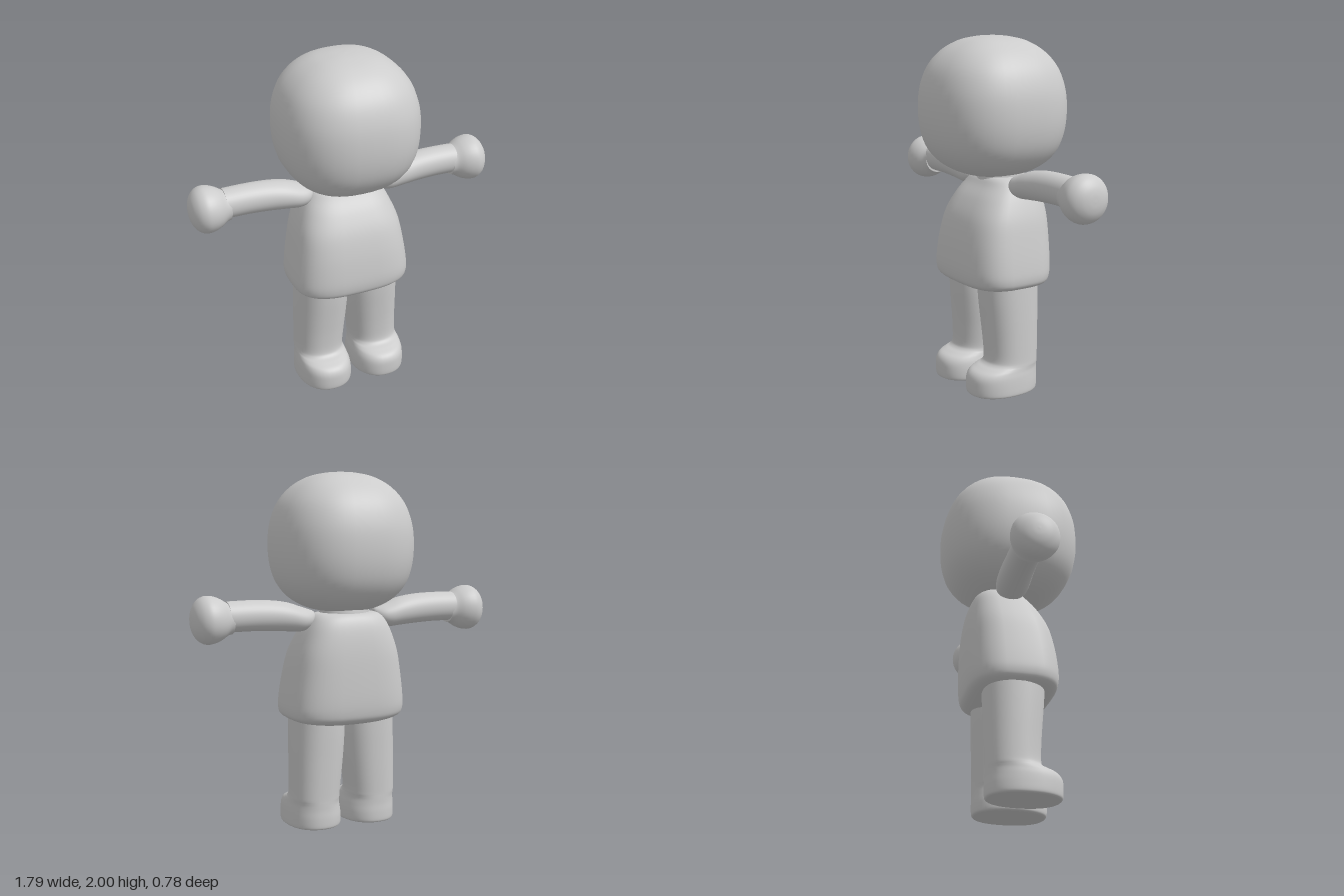
import * as THREE from 'three';

// Smooth skin through rings [height, x0, x1, z0, z1, squareness], capped at both ends
function loft(rings, steps = 5, seg = 40) {
  const at = (i) => rings[Math.max(0, Math.min(rings.length - 1, i))];
  const rows = [];
  for (let i = 0; i < rings.length - 1; i++) {
    for (let s = 0; s < steps; s++) {
      const t = s / steps;
      rows.push(rings[i].map((_, k) => {
        const [a, b, c, d] = [at(i - 1)[k], at(i)[k], at(i + 1)[k], at(i + 2)[k]];
        return b + 0.5 * t * (c - a + t * (2 * a - 5 * b + 4 * c - d + t * (3 * (b - c) + d - a)));
      }));
    }
  }
  rows.push(at(rings.length - 1));
  const pos = [], index = [];
  const bend = (v, n) => Math.sign(v) * Math.pow(Math.abs(v), 2 / n);
  for (const [y, x0, x1, z0, z1, n] of rows) {
    for (let j = 0; j < seg; j++) {
      const a = (j / seg) * Math.PI * 2;
      pos.push((x0 + x1) / 2 + (x1 - x0) / 2 * bend(Math.cos(a), n), y,
        (z0 + z1) / 2 + (z1 - z0) / 2 * bend(Math.sin(a), n));
    }
  }
  for (let i = 0; i < rows.length - 1; i++) {
    for (let j = 0; j < seg; j++) {
      const k = (j + 1) % seg, a = i * seg + j, b = i * seg + k;
      index.push(a, a + seg, b, b, a + seg, b + seg);
    }
  }
  // Caps have their own vertices so flat ends stay sharp
  for (const top of [false, true]) {
    const r = rows[top ? rows.length - 1 : 0];
    const from = top ? (rows.length - 1) * seg : 0;
    const start = pos.length / 3;
    pos.push((r[1] + r[2]) / 2, r[0], (r[3] + r[4]) / 2);
    for (let j = 0; j < seg; j++) pos.push(...pos.slice((from + j) * 3, (from + j) * 3 + 3));
    for (let j = 0; j < seg; j++) {
      const a = start + 1 + j, b = start + 1 + ((j + 1) % seg);
      if (top) index.push(start, b, a);
      else index.push(start, a, b);
    }
  }
  const g = new THREE.BufferGeometry();
  g.setAttribute('position', new THREE.Float32BufferAttribute(pos, 3));
  g.setIndex(index);
  g.computeVertexNormals();
  return g;
}

// Mirror a geometry across x, keeping faces outward
function mirrored(geometry) {
  const g = geometry.clone();
  const p = g.attributes.position, ix = g.index;
  for (let i = 0; i < p.count; i++) p.setX(i, -p.getX(i));
  for (let i = 0; i < ix.count; i += 3) {
    const b = ix.getX(i + 1);
    ix.setX(i + 1, ix.getX(i + 2));
    ix.setX(i + 2, b);
  }
  g.computeVertexNormals();
  return g;
}

export function createModel() {
  const group = new THREE.Group();
  const grey = new THREE.MeshStandardMaterial({ color: 0xcccccc });
  grey.name = 'light grey';
  const add = (name, geometry) => {
    const mesh = new THREE.Mesh(geometry, grey);
    mesh.name = name;
    group.add(mesh);
  };
  const addPair = (name, geometry) => {
    add(name + 'Left', geometry);
    add(name + 'Right', mirrored(geometry));
  };

  // Head: a soft rounded cube
  const headProfile = [[1.22, 0.005], [1.225, 0.09], [1.245, 0.19], [1.3, 0.285], [1.38, 0.349],
    [1.48, 0.382], [1.6, 0.392], [1.72, 0.38], [1.83, 0.34], [1.915, 0.27], [1.97, 0.18],
    [1.994, 0.085], [2, 0.005]];
  add('head', loft(headProfile.map(([y, r]) => [y, -r, r, -r, r, 2.5])));

  // Neck
  add('neck', loft([[1.12, -0.15, 0.15, -0.18, 0.08, 2], [1.2, -0.145, 0.145, -0.18, 0.08, 2],
    [1.27, -0.14, 0.14, -0.17, 0.07, 2]]));

  // Torso: wide at the hem, sloping back to the shoulders
  add('torso', loft([
    [0.575, -0.005, 0.005, -0.01, 0.0, 2.4],
    [0.585, -0.12, 0.12, -0.12, 0.1, 2.6],
    [0.603, -0.25, 0.25, -0.2, 0.185, 2.9],
    [0.628, -0.325, 0.325, -0.238, 0.238, 3.1],
    [0.67, -0.345, 0.345, -0.253, 0.255, 3.2],
    [0.75, -0.341, 0.341, -0.26, 0.256, 3.2],
    [0.88, -0.322, 0.322, -0.26, 0.24, 3.2],
    [1.0, -0.298, 0.298, -0.255, 0.208, 3.2],
    [1.1, -0.262, 0.262, -0.243, 0.155, 3.1],
    [1.17, -0.226, 0.226, -0.225, 0.1, 3],
    [1.21, -0.19, 0.19, -0.2, 0.07, 2.8],
    [1.222, -0.14, 0.14, -0.165, 0.04, 2.4],
    [1.225, -0.005, 0.005, -0.07, -0.06, 2],
  ]));

  // Arms and hands: rings [reach, bottom, top, back, front], laid out sideways
  const sideways = (list) => loft(list.map(([x, lo, hi, z0, z1]) => [x, -hi, -lo, z0, z1, 2.05]))
    .rotateZ(Math.PI / 2).scale(1, 1, 1);
  const toLeft = (list) => {
    const g = sideways(list);
    g.rotateZ(Math.PI);
    return g;
  };
  addPair('arm', toLeft([
    [0.185, 1.2, 1.21, -0.045, -0.035],
    [0.19, 1.175, 1.232, -0.075, 0.0],
    [0.22, 1.14, 1.245, -0.11, 0.035],
    [0.27, 1.122, 1.262, -0.128, 0.05],
    [0.35, 1.127, 1.288, -0.133, 0.052],
    [0.45, 1.134, 1.303, -0.13, 0.046],
    [0.57, 1.139, 1.308, -0.127, 0.042],
    [0.7, 1.138, 1.306, -0.126, 0.041],
  ]));
  const hand = [[0.675, 0.083], [0.7, 0.09], [0.74, 0.114], [0.78, 0.128], [0.82, 0.13],
    [0.855, 0.112], [0.88, 0.078], [0.892, 0.04], [0.895, 0.004]];
  addPair('hand', toLeft(hand.map(([x, r]) => [x, 1.21 - r, 1.21 + r, -0.04 - r, -0.04 + r])));

  // Legs running into rounded feet with flat soles
  addPair('leg', loft([
    [0, 0.025, 0.318, -0.15, 0.242, 2.25],
    [0.012, 0.012, 0.328, -0.16, 0.254, 2.25],
    [0.06, 0.012, 0.328, -0.162, 0.257, 2.3],
    [0.105, 0.018, 0.325, -0.16, 0.253, 2.3],
    [0.135, 0.026, 0.32, -0.16, 0.232, 2.3],
    [0.153, 0.03, 0.317, -0.16, 0.19, 2.3],
    [0.168, 0.032, 0.315, -0.16, 0.152, 2.3],
    [0.2, 0.032, 0.313, -0.161, 0.137, 2.3],
    [0.3, 0.022, 0.312, -0.165, 0.14, 2.3],
    [0.42, 0.01, 0.311, -0.169, 0.15, 2.3],
    [0.54, 0.002, 0.309, -0.173, 0.161, 2.3],
    [0.66, 0.001, 0.306, -0.175, 0.168, 2.3],
  ]));

  return group;
}
